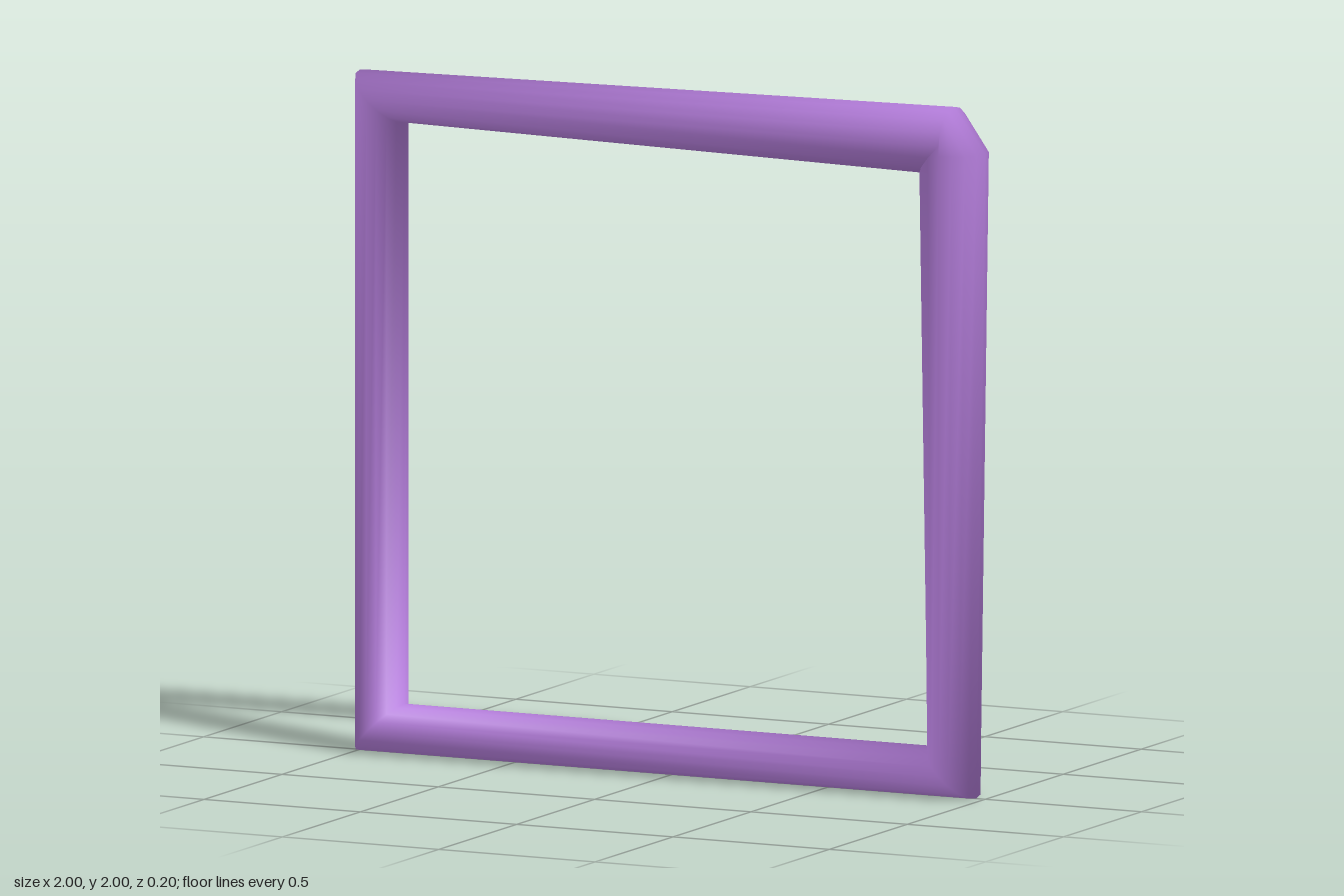
import * as THREE from 'three';

const SIDES = 16, RADIUS = 0.1;

// Sweeps a closed loop of circular rings: [centre x, centre y, outward angle in degrees]
function ringLoop(rings) {
  const positions = [], normals = [], index = [];
  for (const [x, y, degrees] of rings) {
    const a = THREE.MathUtils.degToRad(degrees);
    for (let i = 0; i < SIDES; i++) {
      const t = (i / SIDES) * Math.PI * 2;
      const n = [Math.cos(a) * Math.cos(t), Math.sin(a) * Math.cos(t), Math.sin(t)];
      normals.push(...n);
      positions.push(x + n[0] * RADIUS, y + n[1] * RADIUS, n[2] * RADIUS);
    }
  }
  for (let r = 0; r < rings.length; r++) {
    const here = r * SIDES, next = ((r + 1) % rings.length) * SIDES;
    for (let i = 0; i < SIDES; i++) {
      const j = (i + 1) % SIDES;
      index.push(here + i, next + i, here + j, next + i, next + j, here + j);
    }
  }
  const geometry = new THREE.BufferGeometry();
  geometry.setAttribute('position', new THREE.Float32BufferAttribute(positions, 3));
  geometry.setAttribute('normal', new THREE.Float32BufferAttribute(normals, 3));
  geometry.setIndex(index);
  return geometry;
}

export function createModel() {
  const group = new THREE.Group();
  group.name = 'squareFrame';
  const purple = new THREE.MeshStandardMaterial({ color: 0xb57edc });
  purple.name = 'purple';

  // Three mitred corners, and a chamfered one where the tube meets itself
  const tube = new THREE.Mesh(ringLoop([
    [0.9, 1.9, 90],
    [-0.93, 1.9, 135],
    [-0.93, 0.07, 225],
    [0.9, 0.07, 315],
    [0.9, 1.87, 360],
  ]), purple);
  tube.name = 'frameTube';
  group.add(tube);
  return group;
}
